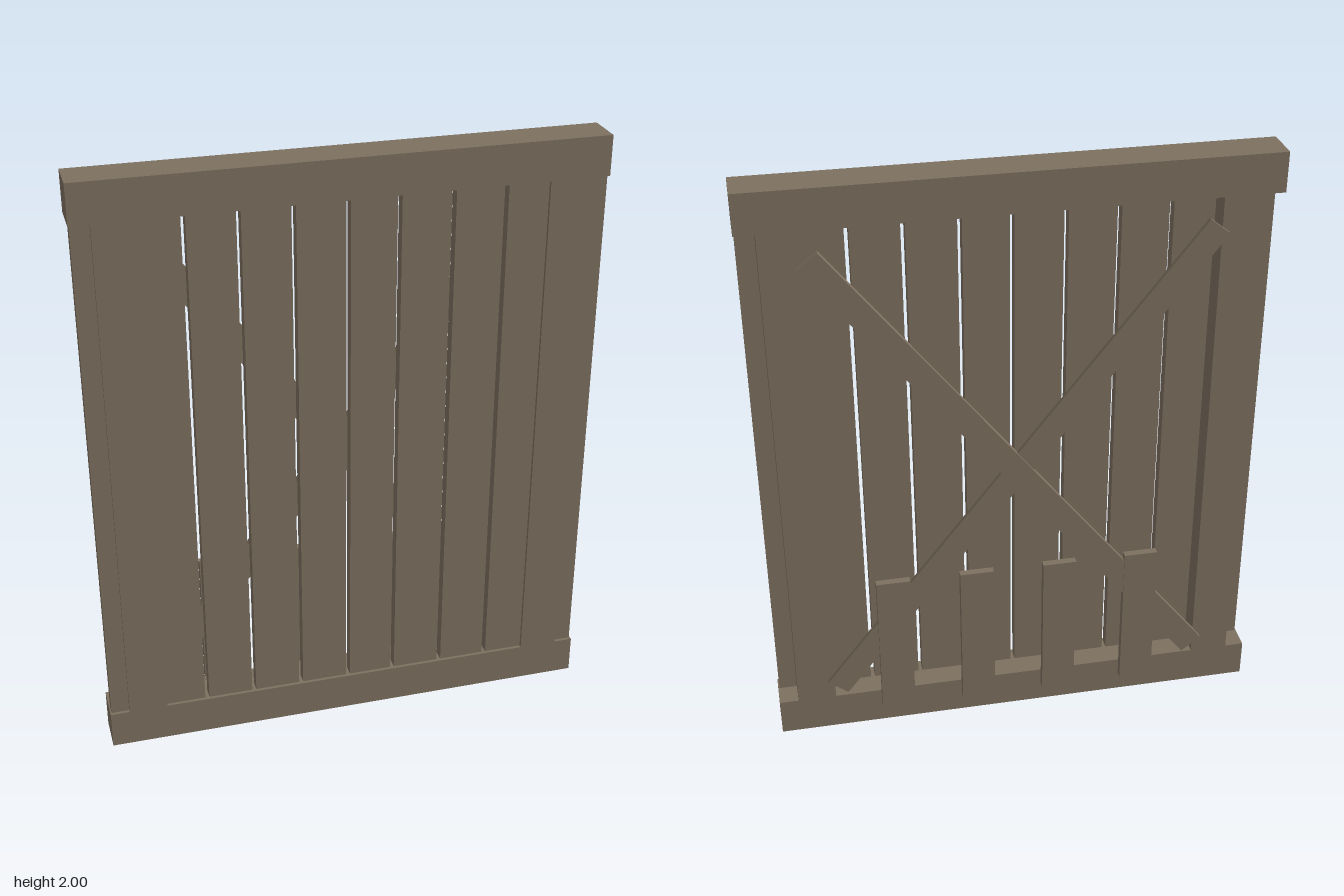
import * as THREE from 'three';

export function createModel() {
  const gate = new THREE.Group();
  gate.name = 'woodenGate';
  const wood = new THREE.MeshStandardMaterial({ color: 0x7d705f });
  wood.name = 'weatheredWood';

  function add(name, geometry) {
    const mesh = new THREE.Mesh(geometry, wood);
    mesh.name = name;
    gate.add(mesh);
    return mesh;
  }

  // Box given by its limits on each axis
  function board(name, x0, x1, y0, y1, z0, z1) {
    const mesh = add(name, new THREE.BoxGeometry(x1 - x0, y1 - y0, z1 - z0));
    mesh.position.set((x0 + x1) / 2, (y0 + y1) / 2, (z0 + z1) / 2);
    return mesh;
  }

  const back = -0.052, front = 0.077;
  const railX = 0.83, postOut = 0.766, postIn = 0.637;
  const low = 0.13, high = 1.87;

  // Frame: two wide rails joined flush by two posts
  const outline = new THREE.Shape([
    [-railX, 0], [railX, 0], [railX, low], [postOut, low], [postOut, high], [railX, high],
    [railX, 2], [-railX, 2], [-railX, high], [-postOut, high], [-postOut, low], [-railX, low],
  ].map(([x, y]) => new THREE.Vector2(x, y)));
  outline.holes.push(new THREE.Path([
    [-postIn, low], [-postIn, high], [postIn, high], [postIn, low],
  ].map(([x, y]) => new THREE.Vector2(x, y))));
  const frame = add('frame', new THREE.ExtrudeGeometry(outline, { depth: front - back, bevelEnabled: false }));
  frame.position.z = back;

  // Vertical slats with narrow gaps, the outermost showing beyond the posts
  const gaps = [-0.498, -0.334, -0.168, 0, 0.16, 0.331, 0.499];
  const half = 0.007;
  const edges = [-postIn - half, ...gaps, postIn + half];
  for (let i = 0; i < edges.length - 1; i++) {
    board('slat', edges[i] + half, edges[i + 1] - half, low, high, 0.027, 0.066);
  }
  for (const side of [-1, 1]) {
    const inner = side * postOut, outer = side * 0.826;
    board('edgeStrip', Math.min(inner, outer), Math.max(inner, outer), low, high, 0.027, 0.066);
  }

  // Crossed braces on the back, one lying over the other
  for (const [side, depth] of [[1, 0.022], [-1, 0.014]]) {
    const brace = add('brace', new THREE.BoxGeometry(2.036, 0.083, depth));
    brace.position.set(0, 0.98, back - depth / 2);
    brace.rotation.z = side * Math.atan(1.28);
  }

  // Short planks along the bottom of the back
  for (const x of [-0.425, -0.143, 0.14, 0.422]) {
    board('shortPlank', x - 0.057, x + 0.057, 0.07, 0.6, -0.077, back);
  }

  return gate;
}
